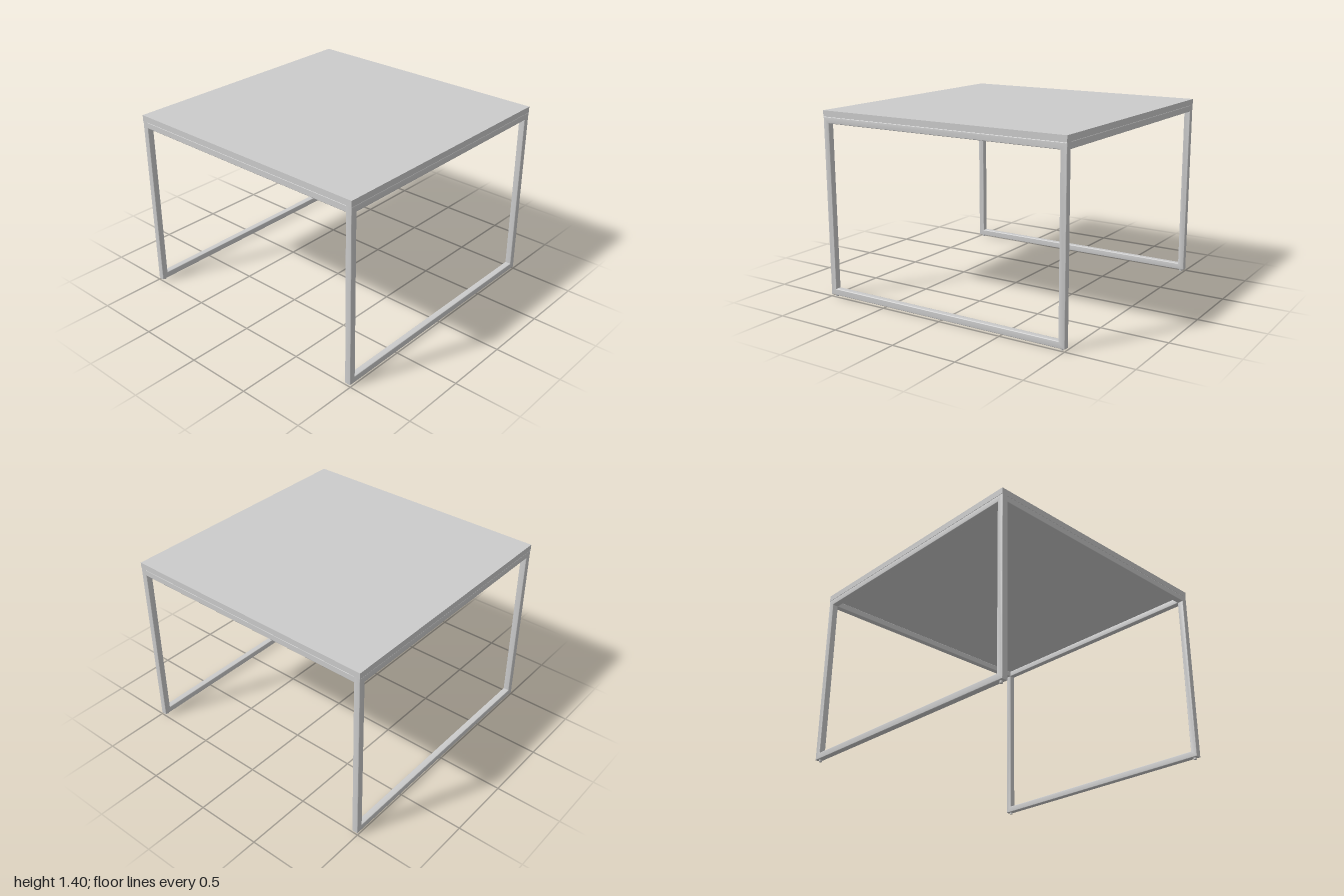
import * as THREE from 'three';
import { RoundedBoxGeometry } from 'three/addons/geometries/RoundedBoxGeometry.js';
import { toCreasedNormals } from 'three/addons/utils/BufferGeometryUtils.js';

const TUBE = 0.048;      // square tube width
const ROUND = 0.005;     // softened tube edges
const BASE = 0.015;      // underside of the frame
const FRAME_TOP = 1.355;
const TOP = 1.4;

const material = new THREE.MeshStandardMaterial({ color: 0xcccccc });

function add(parent, name, geometry, x, y, z) {
  const mesh = new THREE.Mesh(geometry, material);
  mesh.name = name;
  mesh.position.set(x, y, z);
  parent.add(mesh);
  return mesh;
}

function rectangle(path, halfWidth, bottom, top) {
  path.moveTo(-halfWidth, bottom);
  path.lineTo(halfWidth, bottom);
  path.lineTo(halfWidth, top);
  path.lineTo(-halfWidth, top);
  path.closePath();
  return path;
}

// Closed loop of square tube, lying in the YZ plane and centred on x = 0
function sideFrameGeometry() {
  const shape = rectangle(new THREE.Shape(), 1, BASE, FRAME_TOP);
  shape.holes.push(rectangle(new THREE.Path(), 1 - TUBE, BASE + TUBE, FRAME_TOP - TUBE));
  const geometry = new THREE.ExtrudeGeometry(shape, {
    depth: TUBE - 2 * ROUND,
    bevelEnabled: true,
    bevelThickness: ROUND,
    bevelSize: ROUND,
    bevelOffset: -ROUND,
    bevelSegments: 3,
  });
  geometry.translate(0, 0, ROUND - TUBE / 2);
  geometry.rotateY(Math.PI / 2);
  return toCreasedNormals(geometry, 0.7);
}

export function createModel() {
  const table = new THREE.Group();
  table.name = 'table';

  // Flat square top
  add(table, 'tableTop', new THREE.BoxGeometry(2, TOP - FRAME_TOP, 2), 0, (TOP + FRAME_TOP) / 2, 0);

  // Two side loops
  const sideGeometry = sideFrameGeometry();
  // Rails joining the loops, let slightly into their rounded edges
  const railGeometry = new RoundedBoxGeometry(2 - 2 * TUBE + 4 * ROUND, TUBE, TUBE, 3, ROUND);
  // Small round glides under the corners
  const footGeometry = new THREE.CylinderGeometry(0.011, 0.011, BASE + 0.002, 20);

  for (const s of [1, -1]) {
    add(table, s > 0 ? 'leftFrame' : 'rightFrame', sideGeometry, s * (1 - TUBE / 2), 0, 0);
    add(table, s > 0 ? 'frontRail' : 'backRail', railGeometry, 0, FRAME_TOP - TUBE / 2, s * (1 - TUBE / 2));
    for (const t of [1, -1]) {
      add(table, 'foot', footGeometry, s * (1 - TUBE / 2), (BASE + 0.002) / 2, t * 0.968);
    }
  }
  return table;
}
